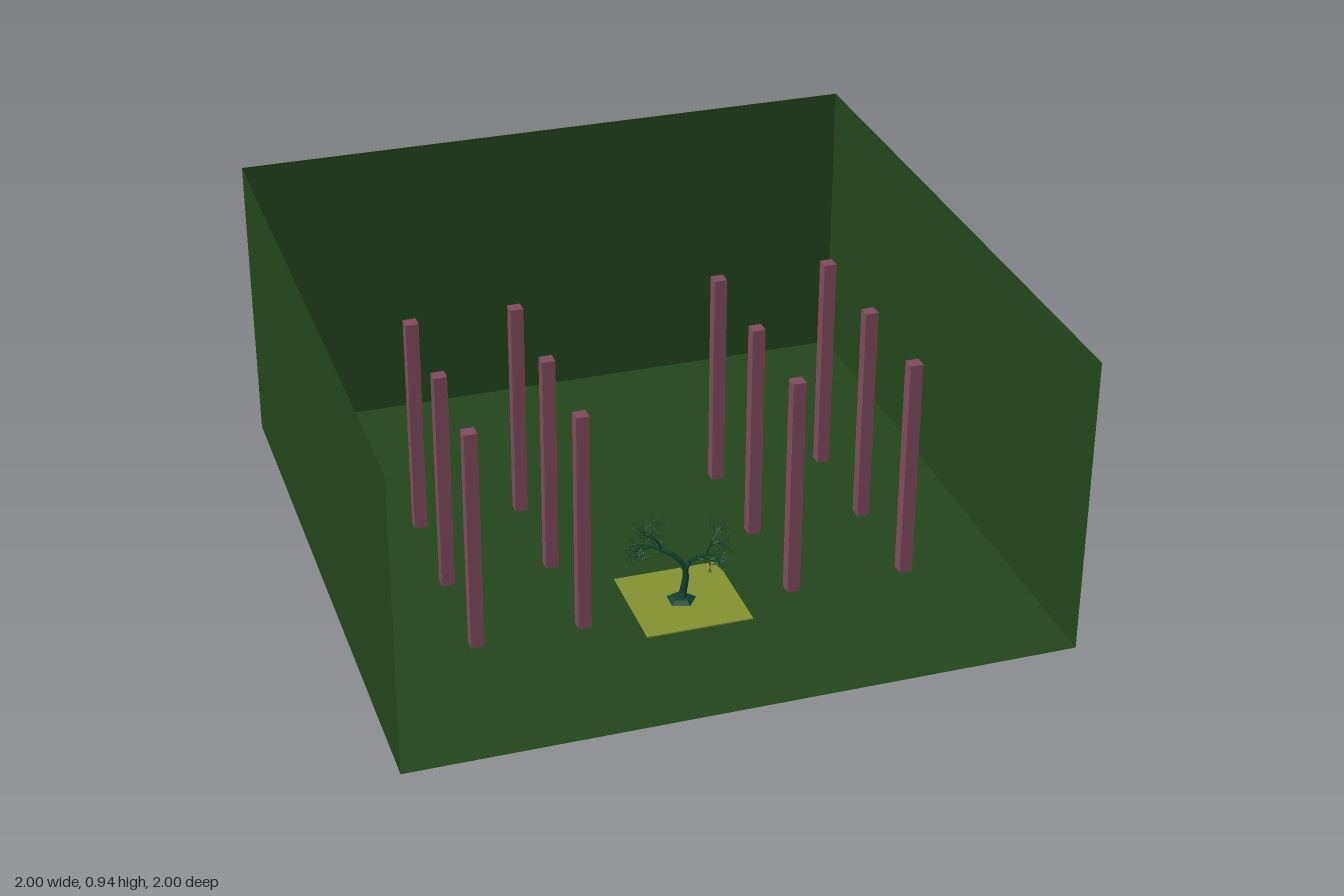
import * as THREE from 'three';
import { mergeGeometries } from 'three/addons/utils/BufferGeometryUtils.js';

const V = (x, y, z) => new THREE.Vector3(x, y, z);
const mat = (color, side = THREE.FrontSide) =>
  new THREE.MeshStandardMaterial({ color, side, flatShading: true });

// Tapered limb between two points
function limb(a, b, r0, r1, sides) {
  const d = b.clone().sub(a);
  const g = new THREE.CylinderGeometry(r1, r0, d.length(), sides, 1, true);
  g.applyQuaternion(new THREE.Quaternion().setFromUnitVectors(V(0, 1, 0), d.clone().normalize()));
  const m = a.clone().add(b).multiplyScalar(0.5);
  return g.translate(m.x, m.y, m.z);
}

function buildTree() {
  let seed = 11;
  const rnd = () => (seed = (seed * 16807) % 2147483647) / 2147483647;
  const jitter = (s) => V(rnd() - 0.5, rnd() - 0.5, rnd() - 0.5).multiplyScalar(2 * s);
  const parts = [];

  const chain = (pts, radii, sides) => {
    for (let i = 0; i < pts.length - 1; i++)
      parts.push(limb(pts[i], pts[i + 1], radii[i], radii[i + 1], sides));
  };

  // Forking twigs, turned back towards the crown when they leave it
  function grow(start, dir, len, rad, depth, crown) {
    const mid = start.clone().addScaledVector(dir, len * 0.5);
    const bent = dir.clone().add(jitter(0.35)).normalize();
    const end = mid.clone().addScaledVector(bent, len * 0.5);
    chain([start, mid, end], [rad, rad * 0.85, rad * 0.7], depth > 3 ? 5 : 3);
    if (depth === 0) return;
    const count = rnd() < 0.35 ? 3 : 2;
    for (let i = 0; i < count; i++) {
      const next = bent.clone().add(jitter(0.95));
      const off = end.clone().sub(crown.centre).divide(crown.size);
      if (off.length() > 0.85) next.addScaledVector(off, -0.9);
      else next.addScaledVector(off, 0.3);
      grow(end, next.normalize(), len * (0.7 + rnd() * 0.25), rad * 0.66, depth - 1, crown);
    }
  }

  // Trunk and its two main limbs
  const fork = V(0.002, 0.115, 0.42);
  chain([V(-0.008, 0.012, 0.417), V(-0.004, 0.035, 0.417), V(0.003, 0.08, 0.419), fork],
    [0.017, 0.012, 0.011, 0.01], 5);
  const left = [fork, V(-0.012, 0.145, 0.415), V(-0.035, 0.165, 0.402), V(-0.065, 0.178, 0.39)];
  const right = [fork, V(0.014, 0.142, 0.425), V(0.035, 0.16, 0.435), V(0.06, 0.168, 0.445)];
  chain(left, [0.009, 0.008, 0.007, 0.006], 5);
  chain(right, [0.008, 0.007, 0.006, 0.005], 5);

  // Crowns
  const crownL = { centre: V(-0.1, 0.225, 0.37), size: V(0.085, 0.08, 0.095) };
  const crownR = { centre: V(0.09, 0.2, 0.455), size: V(0.07, 0.068, 0.085) };
  grow(left[3], V(-0.8, 0.35, -0.3).normalize(), 0.03, 0.0045, 5, crownL);
  grow(left[3], V(-0.2, 0.9, 0.1).normalize(), 0.032, 0.0045, 5, crownL);
  grow(left[2], V(-0.5, 0.3, -0.9).normalize(), 0.032, 0.004, 5, crownL);
  grow(right[3], V(0.8, 0.2, 0.3).normalize(), 0.027, 0.004, 5, crownR);
  grow(right[3], V(0.15, 0.9, -0.1).normalize(), 0.03, 0.004, 5, crownR);
  grow(right[2], V(0.3, 0.1, 0.9).normalize(), 0.027, 0.0035, 4, crownR);
  return mergeGeometries(parts);
}

export function createModel() {
  const group = new THREE.Group();
  const add = (name, geo, material, x = 0, y = 0, z = 0) => {
    const m = new THREE.Mesh(geo, material);
    m.name = name;
    m.position.set(x, y, z);
    group.add(m);
    return m;
  };

  const green = mat(0x22451a, THREE.DoubleSide);
  const pink = mat(0x804a5c);
  const yellow = mat(0x84902f);
  const bark = mat(0x10402c, THREE.DoubleSide);

  // Floor and three thin walls, open at the front and top
  const base = 0.006, top = 0.94, h = top - base, midY = (top + base) / 2;
  add('floor', new THREE.PlaneGeometry(2, 2).rotateX(-Math.PI / 2), green, 0, base, 0);
  add('backWall', new THREE.PlaneGeometry(2, h), green, 0, midY, -1);
  for (const s of [-1, 1])
    add(s > 0 ? 'leftWall' : 'rightWall',
      new THREE.PlaneGeometry(2, h).rotateY(-s * Math.PI / 2), green, s, midY, 0);

  // Grid of square columns
  const columnGeo = new THREE.BoxGeometry(0.04, 0.713, 0.04);
  for (const x of [-0.647, -0.323, 0.327, 0.688])
    for (const z of [-0.24, 0.108, 0.454])
      add('column', columnGeo, pink, x, 0.3565, z);

  // Planting bed and tree
  add('plantingBed', new THREE.BoxGeometry(0.327, 0.01, 0.327), yellow, -0.002, 0.005, 0.414);
  add('trunkBase', new THREE.CylinderGeometry(0.03, 0.048, 0.011, 5).rotateY(0.3),
    bark, -0.008, 0.0145, 0.416);
  add('tree', buildTree(), bark);
  return group;
}
